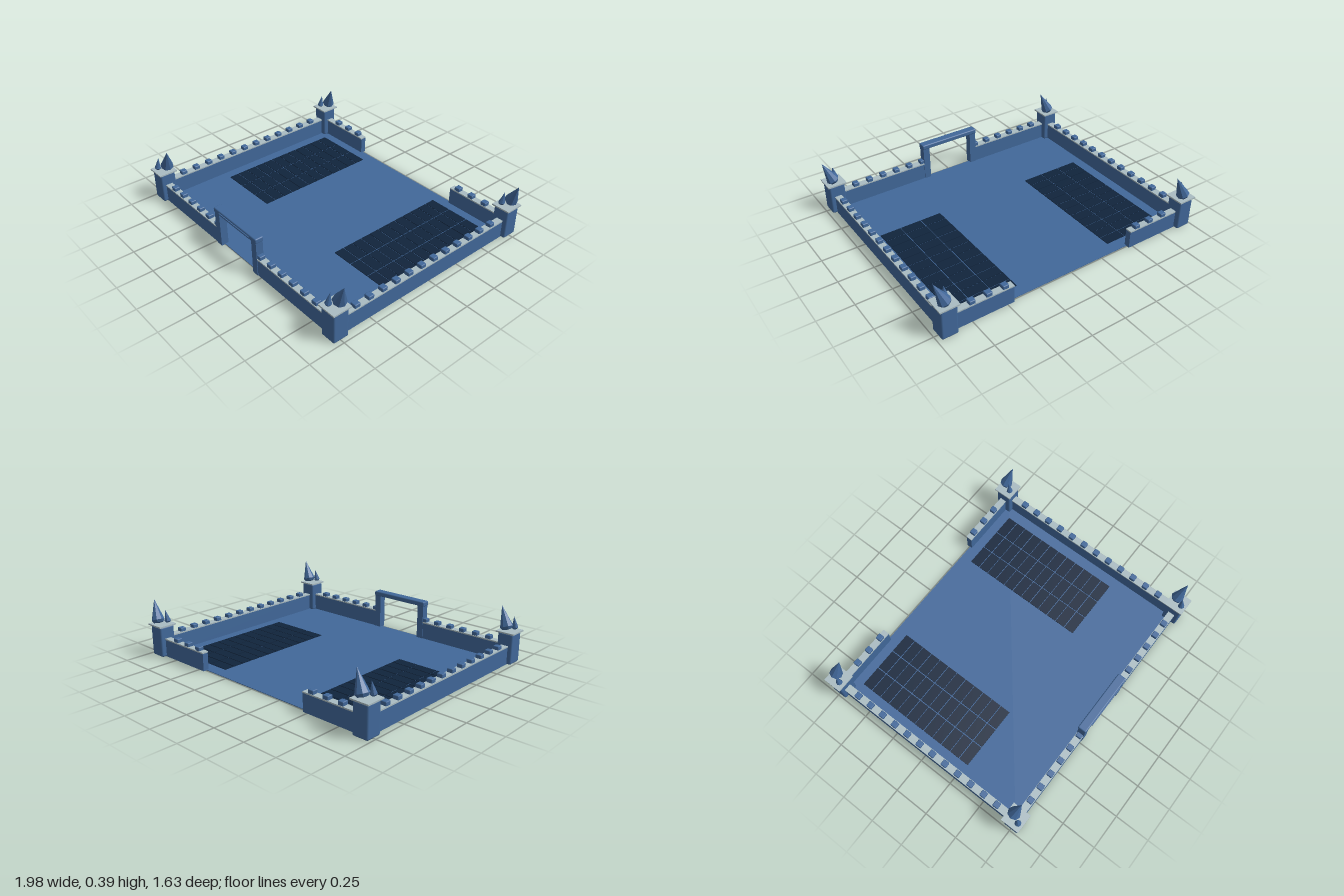
import * as THREE from 'three';
import { RoundedBoxGeometry } from 'three/addons/geometries/RoundedBoxGeometry.js';

export function createModel() {
  const model = new THREE.Group();
  model.name = 'walledCourtyard';

  const blue = new THREE.MeshStandardMaterial({ color: 0x41689a });
  blue.name = 'slate blue';
  const stone = new THREE.MeshStandardMaterial({ color: 0xaabcc2 });
  stone.name = 'pale stone';
  const navy = new THREE.MeshStandardMaterial({ color: 0x10243c });
  navy.name = 'dark navy';
  const crystal = new THREE.MeshStandardMaterial({ color: 0x41689a, flatShading: true });
  crystal.name = 'faceted blue';

  const add = (parent, name, geometry, material, x, y, z) => {
    const mesh = new THREE.Mesh(geometry, material);
    mesh.name = name;
    mesh.position.set(x, y, z);
    parent.add(mesh);
    return mesh;
  };
  // Box given by its extents
  const box = (parent, name, material, x0, x1, y0, y1, z0, z1) =>
    add(parent, name, new THREE.BoxGeometry(x1 - x0, y1 - y0, z1 - z0), material,
      (x0 + x1) / 2, (y0 + y1) / 2, (z0 + z1) / 2);
  const roundedBox = (parent, name, material, x0, x1, y0, y1, z0, z1, r) =>
    add(parent, name, new RoundedBoxGeometry(x1 - x0, y1 - y0, z1 - z0, 2, r), material,
      (x0 + x1) / 2, (y0 + y1) / 2, (z0 + z1) / 2);

  // Courtyard floor
  box(model, 'floor', blue, -0.935, 0.92, 0, 0.004, -0.745, 0.75);

  // Walls with coping and merlons
  const merlon = new RoundedBoxGeometry(0.042, 0.03, 0.042, 1, 0.005);
  const wall = (name, x0, x1, z0, z1, spots) => {
    const group = new THREE.Group();
    group.name = name;
    model.add(group);
    const alongX = x1 - x0 > z1 - z0;
    const inX = alongX ? 0 : 0.003, inZ = alongX ? 0.003 : 0;
    box(group, 'wallBody', blue, x0 + inX, x1 - inX, 0, 0.122, z0 + inZ, z1 - inZ);
    box(group, 'coping', stone, x0, x1, 0.122, 0.131, z0, z1);
    for (const s of spots) {
      add(group, 'merlon', merlon, blue,
        alongX ? s : (x0 + x1) / 2, 0.142, alongX ? (z0 + z1) / 2 : s);
    }
  };
  const series = (start, step, count) => Array.from({ length: count }, (_, i) => start + i * step);
  wall('rightWall', -0.96, -0.907, -0.72, 0.72, series(-0.587, 0.1075, 12));
  wall('leftWall', 0.895, 0.945, -0.72, 0.72, series(-0.587, 0.1075, 12));
  wall('frontWallRight', -0.9, -0.2, 0.725, 0.775, series(-0.778, 0.1075, 6));
  wall('frontWallLeft', 0.185, 0.9, 0.725, 0.775, series(0.225, 0.107, 6));
  wall('backWallRight', -0.9, -0.468, -0.772, -0.725, series(-0.76, 0.115, 3));
  wall('backWallLeft', 0.453, 0.9, -0.772, -0.725, series(0.512, 0.116, 3));

  // Gate frame
  const gate = new THREE.Group();
  gate.name = 'gate';
  model.add(gate);
  box(gate, 'gatePillar', blue, -0.232, -0.183, 0, 0.255, 0.724, 0.776);
  box(gate, 'gatePillar', blue, 0.168, 0.217, 0, 0.255, 0.724, 0.776);
  roundedBox(gate, 'lintel', blue, -0.238, 0.222, 0.248, 0.283, 0.719, 0.781, 0.008);
  box(gate, 'lintelTrim', blue, -0.17, 0.152, 0.26, 0.271, 0.778, 0.787);

  // Crystal: blunt foot, wide ring, long point, leaning from foot to tip
  const spike = (parent, name, foot, tip, radius) => {
    const axis = new THREE.Vector3().subVectors(tip, foot);
    const length = axis.length();
    const profile = [[0, 0], [radius * 0.7, length * 0.03], [radius, length * 0.14], [0, length]]
      .map(([r, y]) => new THREE.Vector2(r, y));
    const mesh = add(parent, name, new THREE.LatheGeometry(profile, 8), crystal, foot.x, foot.y, foot.z);
    mesh.quaternion.setFromUnitVectors(new THREE.Vector3(0, 1, 0), axis.normalize());
  };

  // Corner posts with slab caps and crystals
  for (const x of [-0.931, 0.918]) {
    for (const z of [-0.748, 0.748]) {
      const post = new THREE.Group();
      post.name = 'cornerPost';
      post.position.set(x, 0, z);
      model.add(post);
      roundedBox(post, 'postBody', blue, -0.056, 0.056, 0, 0.216, -0.056, 0.056, 0.012);
      box(post, 'postCap', stone, -0.067, 0.067, 0.215, 0.225, -0.067, 0.067);
      spike(post, 'largeSpike', new THREE.Vector3(0.003, 0.232, -0.026),
        new THREE.Vector3(0.067, 0.388, -0.006), 0.045);
      spike(post, 'smallSpike', new THREE.Vector3(-0.022, 0.23, 0.034),
        new THREE.Vector3(-0.014, 0.32, 0.022), 0.022);
    }
  }

  // Two fields of dark floor panels, each panel split by a thin gap
  for (const x0 of [-0.835, 0.361]) {
    const field = new THREE.Group();
    field.name = 'panelField';
    model.add(field);
    for (let col = 0; col < 3; col++) {
      for (let row = 0; row < 6; row++) {
        const x = x0 + col * 0.1555, z = -0.662 + row * 0.1555;
        for (const half of [0, 0.0785]) {
          box(field, 'panel', navy, x, x + 0.149, 0.003, 0.008, z + half, z + half + 0.0725);
        }
      }
    }
  }
  return model;
}
